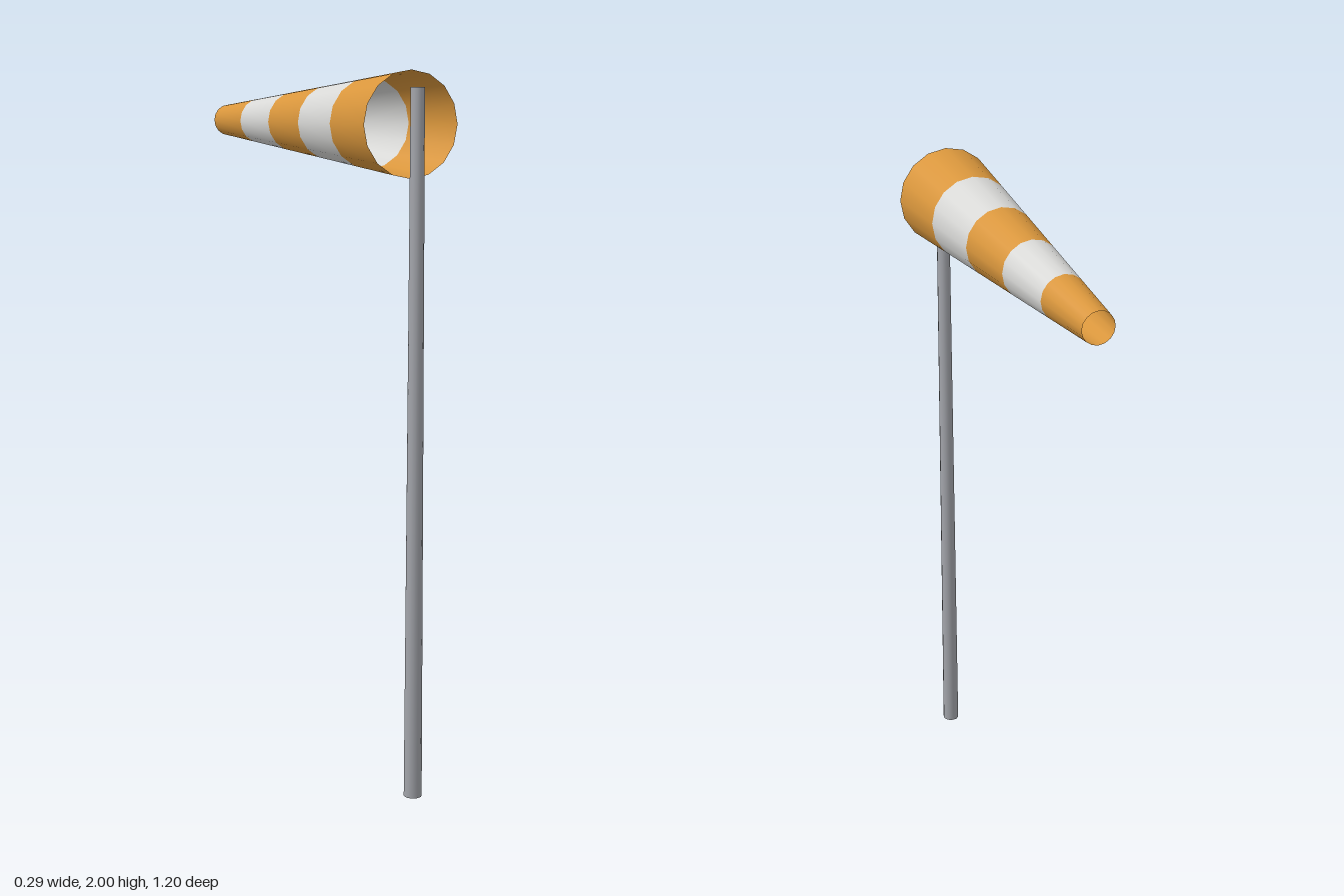
import * as THREE from 'three';
import { mergeVertices } from 'three/addons/utils/BufferGeometryUtils.js';

function material(name, color, side = THREE.FrontSide) {
  const m = new THREE.MeshStandardMaterial({ color, side });
  m.name = name;
  return m;
}

export function createModel() {
  const group = new THREE.Group();
  group.name = 'windsock';
  const orange = material('orange fabric', 0xd9963c, THREE.DoubleSide);
  const white = material('white fabric', 0xd8d8d6, THREE.DoubleSide);
  const metal = material('grey metal', 0xa3a5ab);

  // Tapered pole, with normals blended softly across the end caps
  const height = 1.955;
  let poleGeometry = new THREE.CylinderGeometry(0.019, 0.025, height, 12);
  poleGeometry.deleteAttribute('normal');
  poleGeometry.deleteAttribute('uv');
  poleGeometry = mergeVertices(poleGeometry);
  poleGeometry.computeVertexNormals();
  const pole = new THREE.Mesh(poleGeometry, metal);
  pole.name = 'pole';
  pole.position.set(0, height / 2, 0.573);
  group.add(pole);

  // Open tapered sock made of five alternating bands, wide mouth first
  const sock = new THREE.Group();
  sock.name = 'sock';
  sock.position.y = 1.856;
  const bands = 5, zMouth = 0.54, zTail = -0.6;
  const length = (zMouth - zTail) / bands;
  const radius = (i) => THREE.MathUtils.lerp(0.145, 0.047, i / bands);
  for (let i = 0; i < bands; i++) {
    const geometry = new THREE.CylinderGeometry(radius(i), radius(i + 1), length, 16, 1, true);
    geometry.rotateX(Math.PI / 2);
    const band = new THREE.Mesh(geometry, i % 2 ? white : orange);
    band.name = `sockBand${i + 1}`;
    band.position.z = zMouth - (i + 0.5) * length;
    sock.add(band);
  }
  group.add(sock);
  return group;
}
